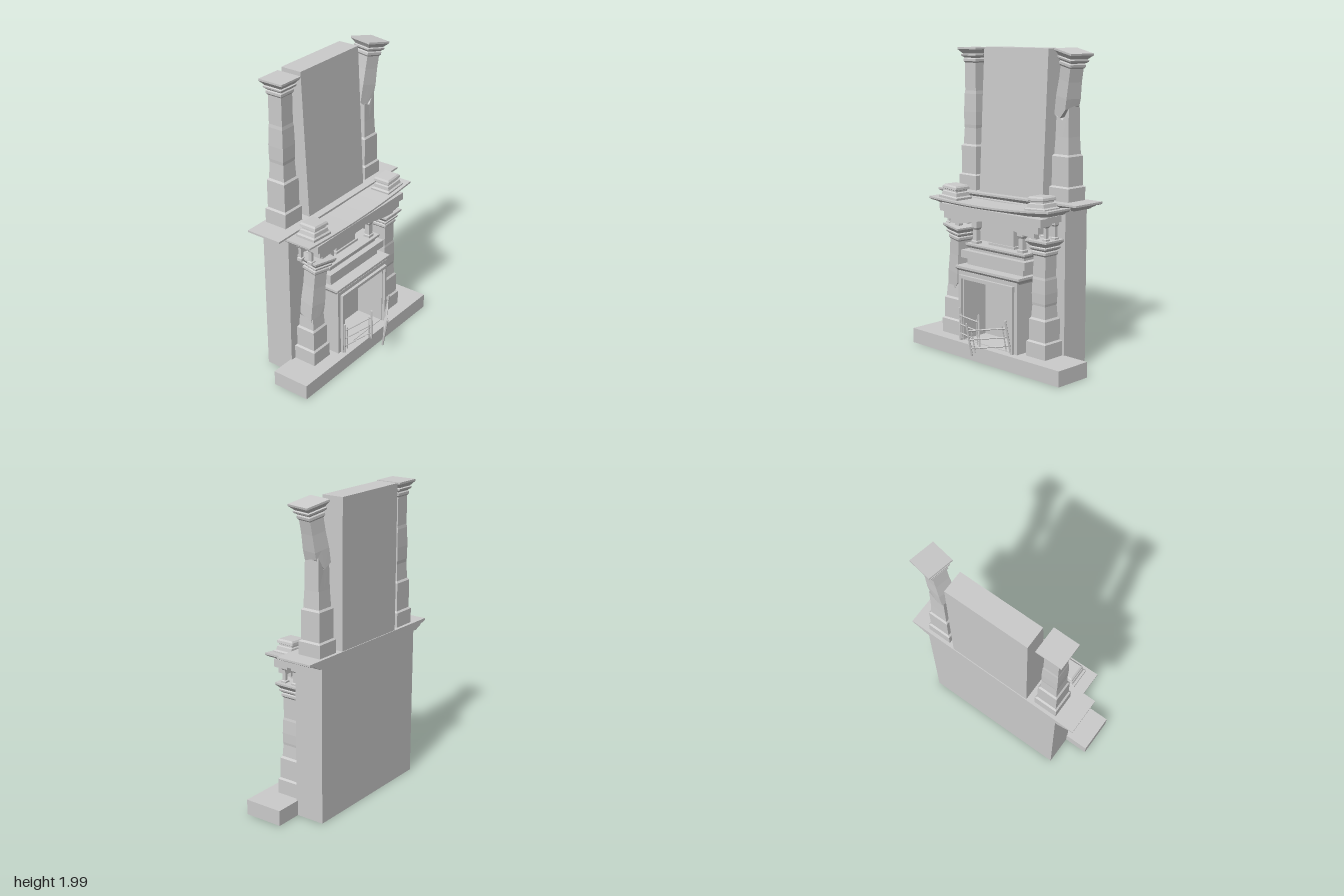
import * as THREE from 'three';

const grey = new THREE.MeshStandardMaterial({ color: 0xcccccc, flatShading: true, side: THREE.DoubleSide });

export function createModel() {
  const model = new THREE.Group();

  function add(name, geo, x = 0, y = 0, z = 0, parent = model) {
    const mesh = new THREE.Mesh(geo, grey);
    mesh.name = name;
    mesh.position.set(x, y, z);
    parent.add(mesh);
    return mesh;
  }

  // Box given by its limits
  function box(name, x0, x1, y0, y1, z0, z1, parent = model) {
    return add(name, new THREE.BoxGeometry(x1 - x0, y1 - y0, z1 - z0),
      (x0 + x1) / 2, (y0 + y1) / 2, (z0 + z1) / 2, parent);
  }

  // Stack of rectangles, rings = [y, halfX, halfZ, centreZ]; warp may move each point
  function moulded(rings, nx = 2, nz = 2, warp = null) {
    const k = rings.length - 1;
    const geo = new THREE.BoxGeometry(1, 1, 1, nx, k, nz);
    const p = geo.attributes.position;
    const v = new THREE.Vector3();
    for (let i = 0; i < p.count; i++) {
      const ring = Math.round((p.getY(i) + 0.5) * k);
      const [y, hx, hz = hx, cz = 0] = rings[ring];
      v.set(p.getX(i) * 2 * hx, y, p.getZ(i) * 2 * hz + cz);
      if (warp) warp(v, ring, k);
      p.setXYZ(i, v.x, v.y, v.z);
    }
    const flat = geo.toNonIndexed();
    flat.computeVertexNormals();
    return flat;
  }

  // Moulded shelf: front and sides step in below, back stays straight
  function shelf(name, hx, z0, z1, yTop, profile, warp) {
    const rings = profile.map(([dy, inset]) =>
      [yTop - dy, hx - inset, (z1 - z0 - inset) / 2, (z0 + z1 - inset) / 2]);
    return add(name, moulded(rings, 20, 2, warp));
  }

  // Hearth, hollow below
  const slab = new THREE.BoxGeometry(1.32, 0.1, 0.26);
  const index = Array.from(slab.index.array);
  index.splice(18, 6);
  slab.setIndex(index);
  add('hearth', slab, 0, 0.05, 0.03);

  // Wall block and tapered chimney breast
  box('wallBlock', -0.5, 0.48, 0, 1.01, -0.29, -0.09);
  add('chimneyBreast', moulded([[1.04, 0.28, 0.095, -0.195], [1.99, 0.28, 0.072, -0.218]], 1, 1));

  // Upper shelf, slightly crooked
  shelf('upperShelf', 0.615, -0.295, -0.05, 1.055,
    [[0.055, 0.1], [0.045, 0.085], [0.035, 0.06], [0.024, 0.045], [0.02, 0.015], [0.012, 0], [0, 0]],
    v => { v.y += 0.015 * v.x; v.x -= 0.015; });

  // Lower shelf, sagging and tilted
  const sag = v => { v.y += 0.02 * v.x + 0.022 * (v.x / 0.53) ** 2 - 0.015; };
  shelf('lowerShelf', 0.53, -0.09, 0.11, 1.02,
    [[0.06, 0.1], [0.045, 0.09], [0.04, 0.05], [0.028, 0.035], [0.022, 0.012], [0.012, 0], [0, 0]],
    v => { sag(v); v.x -= 0.01; });

  // Stepped pedestals on the lower shelf
  for (const s of [-1, 1]) {
    const pedestal = add('shelfPedestal', moulded([
      [0, 0.083, 0.07], [0.015, 0.083, 0.07], [0.022, 0.07, 0.06], [0.045, 0.066, 0.056],
      [0.05, 0.055, 0.048], [0.06, 0.055, 0.048], [0.065, 0.066, 0.06], [0.08, 0.064, 0.058], [0.09, 0.055, 0.05],
    ]), s * 0.386, 1.015 + s * 0.005, 0.017);
    pedestal.rotation.z = s * 0.06;
  }

  // Arched fascia in stepped layers
  function arch(name, half, low, rise, top, z0, z1) {
    const shape = new THREE.Shape();
    shape.moveTo(half, top);
    shape.lineTo(-half, top);
    for (let i = 0; i <= 24; i++) {
      const x = -half + 2 * half * i / 24;
      const t = Math.min(1, Math.abs(x) / 0.36);
      shape.lineTo(x, low + rise * (0.5 + 0.5 * Math.cos(Math.PI * t)));
    }
    const geo = new THREE.ExtrudeGeometry(shape, { depth: z1 - z0, bevelEnabled: false });
    add(name, geo, 0, 0, z0);
  }
  arch('archLower', 0.375, 0.855, 0.05, 0.97, 0.03, 0.075);
  arch('archMiddle', 0.42, 0.885, 0.05, 0.975, 0.03, 0.09);
  arch('archUpper', 0.45, 0.93, 0.025, 0.98, 0.0, 0.1);
  box('shelfBearer', -0.45, 0.45, 0.945, 0.985, -0.09, 0.04);

  // Columns: plinth, shaft and capital, either whole or broken into two pieces
  const capital = y => [[y - 0.1, 0.05], [y - 0.09, 0.058], [y - 0.075, 0.058], [y - 0.068, 0.052],
    [y - 0.055, 0.068], [y - 0.045, 0.07], [y - 0.04, 0.062], [y - 0.03, 0.07], [y - 0.012, 0.086], [y, 0.086]];
  const plinth = (y, h) => [[y, 0.079], [y + 0.095, 0.079], [y + 0.105, 0.068],
    [y + h - 0.012, 0.068], [y + h, 0.058]];
  const jag = v => Math.sign(v.x) * 0.025 - Math.sign(v.z) * 0.012 + (v.x === 0 ? -0.05 : 0);

  function column(name, x, y0, y1, z, plinthHeight, broken) {
    const group = new THREE.Group();
    group.name = name;
    group.position.set(x, 0, z);
    model.add(group);
    const base = y0 + plinthHeight, span = y1 - 0.1 - base;
    const shaft = (t, w) => [base + span * t, w];
    const foot = [...plinth(y0, plinthHeight), shaft(0.04, 0.057)];
    if (!broken) {
      add('column', moulded([...foot, shaft(0.2, 0.053), shaft(0.24, 0.055), shaft(0.4, 0.056),
        shaft(0.62, 0.053), shaft(0.66, 0.05), ...capital(y1)]), 0, 0, 0, group);
      return;
    }
    const { at, turn, tilt, shift } = broken;
    const ragged = (v, ring, which) => { if (ring === which) v.y += jag(v); };
    add('brokenShaft', moulded([...foot, shaft(0.2, 0.053), [at, 0.05]], 2, 2,
      (v, ring, k) => ragged(v, ring, k)), 0, 0, 0, group);
    const piece = add('leaningTop', moulded([[0, 0.052], [0.08, 0.054], [(y1 - at) * 0.5, 0.05],
      ...capital(y1 - at)], 2, 2, (v, ring) => ragged(v, ring, 0)), shift, at, 0, group);
    piece.rotation.order = 'ZYX';
    piece.rotation.set(0.04, turn, tilt);
  }
  column('lowerColumnLeft', 0.386, 0.1, 0.84, -0.01, 0.25);
  column('lowerColumnRight', -0.386, 0.1, 0.84, -0.01, 0.25,
    { at: 0.44, turn: -0.17, tilt: -0.1, shift: 0.004 });
  column('upperColumnRight', -0.41, 1.05, 1.985, -0.195, 0.3);
  column('upperColumnLeft', 0.4, 1.05, 1.985, -0.195, 0.3,
    { at: 1.62, turn: -0.21, tilt: -0.19, shift: -0.01 });

  // Small posts above the lower columns
  for (const s of [-1, 1]) for (const dx of [-0.045, 0.045]) for (const dz of [-0.05, 0.03])
    add('capitalPost', moulded([[0.83, 0.018], [0.85, 0.018], [0.855, 0.011], [0.92, 0.011],
      [0.93, 0.018], [0.96, 0.018]]), s * 0.386 + dx, 0, dz);

  // Fire surround with opening
  function frame(name, hx, top, holeX, holeTop, z0, z1) {
    const shape = new THREE.Shape();
    [[-hx, 0.1], [-hx, top], [hx, top], [hx, 0.1], [holeX, 0.1], [holeX, holeTop],
      [-holeX, holeTop], [-holeX, 0.1]].forEach(([x, y], i) => i ? shape.lineTo(x, y) : shape.moveTo(x, y));
    add(name, new THREE.ExtrudeGeometry(shape, { depth: z1 - z0, bevelEnabled: false }), 0, 0, z0);
  }
  frame('fireSurround', 0.265, 0.56, 0.215, 0.505, -0.09, 0.108);
  frame('openingFrame', 0.24, 0.535, 0.222, 0.515, 0.1, 0.128);
  box('fireboxFloor', -0.215, 0.215, 0.098, 0.104, -0.09, 0.1);
  shelf('surroundShelf', 0.285, -0.09, 0.118, 0.59,
    [[0.05, 0.022], [0.035, 0.018], [0.025, 0.008], [0.015, 0], [0, 0]]);

  // Overmantel blocks
  box('overmantelBase', -0.25, 0.25, 0.59, 0.64, -0.09, 0.04);
  box('overmantelBand', -0.285, 0.285, 0.635, 0.685, -0.09, 0.065);
  shelf('overmantelCap', 0.265, -0.09, 0.045, 0.73,
    [[0.05, 0.02], [0.03, 0.02], [0.02, 0.005], [0.012, 0], [0, 0]]);
  box('overmantelPanel', -0.1, 0.1, 0.73, 0.95, -0.09, -0.03);
  box('panelFoot', -0.115, 0.115, 0.73, 0.745, -0.09, -0.02);
  for (const x of [-0.205, 0.205])
    add('overmantelPost', moulded([[0.73, 0.024], [0.745, 0.024], [0.75, 0.018], [0.82, 0.016],
      [0.835, 0.024], [0.96, 0.024]]), x, 0, 0);

  // Fire screen leaves: end posts, short bars and three rails
  function leaf(name, width, x, y, z, rot) {
    const group = new THREE.Group();
    group.name = name;
    group.position.set(x, y, z);
    group.rotation.set(...rot, 'YXZ');
    model.add(group);
    const rod = (label, r, a, b) => {
      const from = new THREE.Vector3(...a), to = new THREE.Vector3(...b);
      const dir = to.clone().sub(from);
      const mesh = add(label, new THREE.CylinderGeometry(r, r, dir.length(), 6), 0, 0, 0, group);
      mesh.position.copy(from).add(to).multiplyScalar(0.5);
      mesh.quaternion.setFromUnitVectors(new THREE.Vector3(0, 1, 0), dir.normalize());
    };
    const w = width / 2;
    for (const s of [-1, 1]) {
      rod('endPost', 0.007, [s * w, -0.11, 0], [s * w, 0.11, 0]);
      rod('innerBar', 0.004, [s * w * 0.8, -0.09, 0], [s * w * 0.8, 0.075, 0]);
    }
    for (const ry of [-0.06, 0, 0.06]) rod('rail', 0.005, [-w, ry, 0], [w, ry, 0]);
  }
  leaf('screenLeafRight', 0.235, -0.115, 0.21, 0.155, [0.02, -0.21, 0.02]);
  leaf('screenLeafLeft', 0.25, 0.117, 0.2, 0.212, [0.14, 0.59, 0.13]);

  return model;
}
